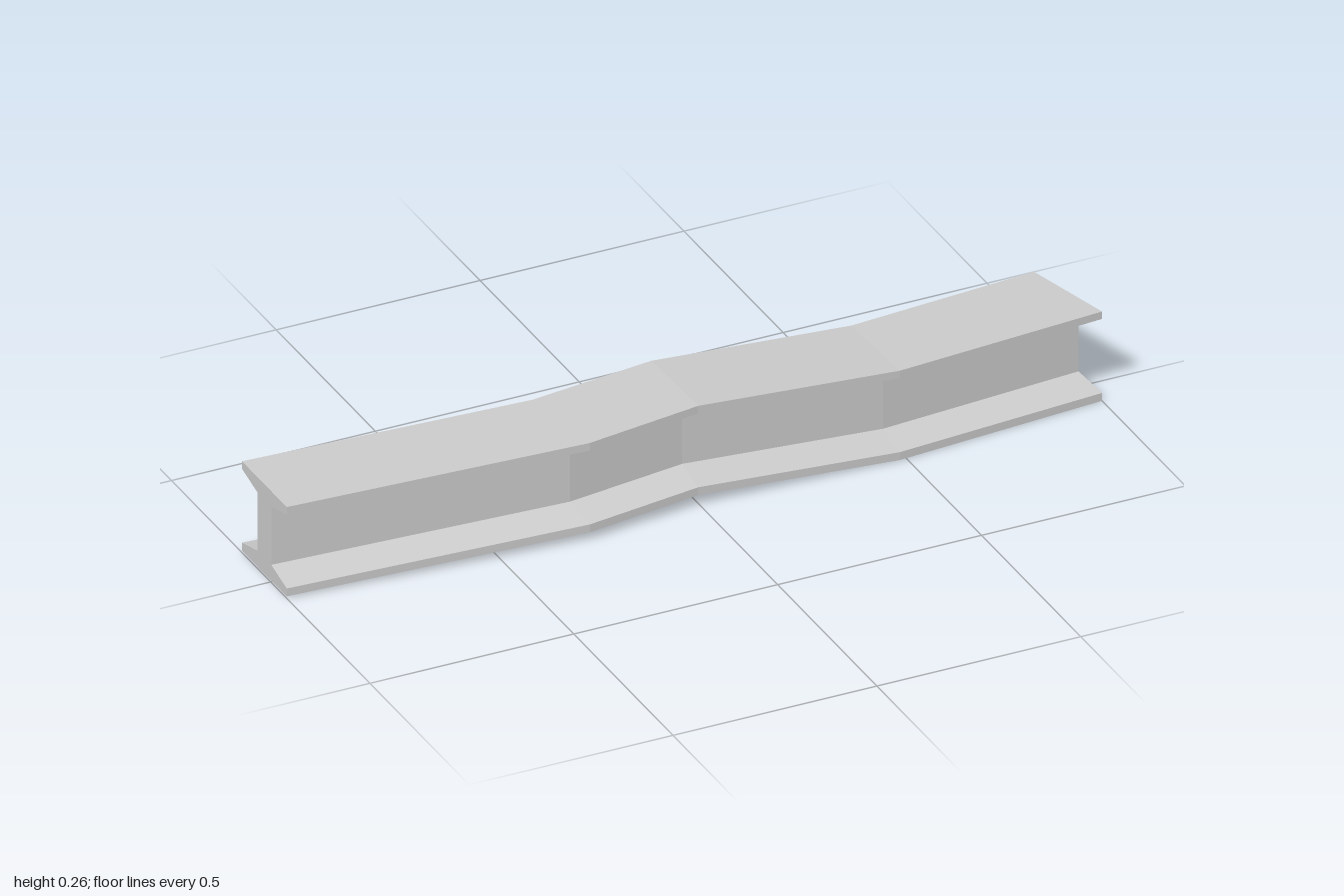
import * as THREE from 'three';

// I-shaped section: [t across the flange from back (0) to front (1), height]
const W0 = 0.345, W1 = 0.655;
const SECTION = [
  [0, 0], [1, 0], [1, 0.02], [W1, 0.04], [W1, 0.188], [1, 0.208],
  [1, 0.227], [0, 0.227], [0, 0.208], [W0, 0.188], [W0, 0.04], [0, 0.02],
].map(([t, y]) => new THREE.Vector2(t, y));

// Bend stations: back edge x, z; front edge x, z; base height
const STATIONS = [
  [-1, -0.145, -1, 0.081, 0.005],
  [-0.317, -0.085, -0.287, 0.143, 0.021],
  [-0.012, -0.113, -0.006, 0.112, 0.029],
  [0.476, -0.106, 0.484, 0.121, 0],
  [0.942, -0.145, 1, 0.08, 0],
];

function loftBeam() {
  const rings = STATIONS.map(([xb, zb, xf, zf, y]) => SECTION.map(p =>
    new THREE.Vector3(xb + (xf - xb) * p.x, y + p.y, zb + (zf - zb) * p.x)));
  const points = [];
  const n = SECTION.length;

  // Side faces between neighbouring stations
  for (let s = 0; s < rings.length - 1; s++) {
    for (let i = 0; i < n; i++) {
      const j = (i + 1) % n;
      const a = rings[s][i], b = rings[s][j];
      const c = rings[s + 1][j], d = rings[s + 1][i];
      points.push(a, d, c, a, c, b);
    }
  }

  // End caps
  const first = rings[0], last = rings[rings.length - 1];
  for (const [a, b, c] of THREE.ShapeUtils.triangulateShape(SECTION, [])) {
    points.push(first[a], first[b], first[c], last[a], last[c], last[b]);
  }

  const geometry = new THREE.BufferGeometry().setFromPoints(points);
  geometry.computeVertexNormals();
  return geometry;
}

export function createModel() {
  const group = new THREE.Group();
  group.name = 'bentBeam';
  const material = new THREE.MeshStandardMaterial({ color: 0xcccccc, flatShading: true });
  const beam = new THREE.Mesh(loftBeam(), material);
  beam.name = 'iBeam';
  group.add(beam);
  return group;
}
